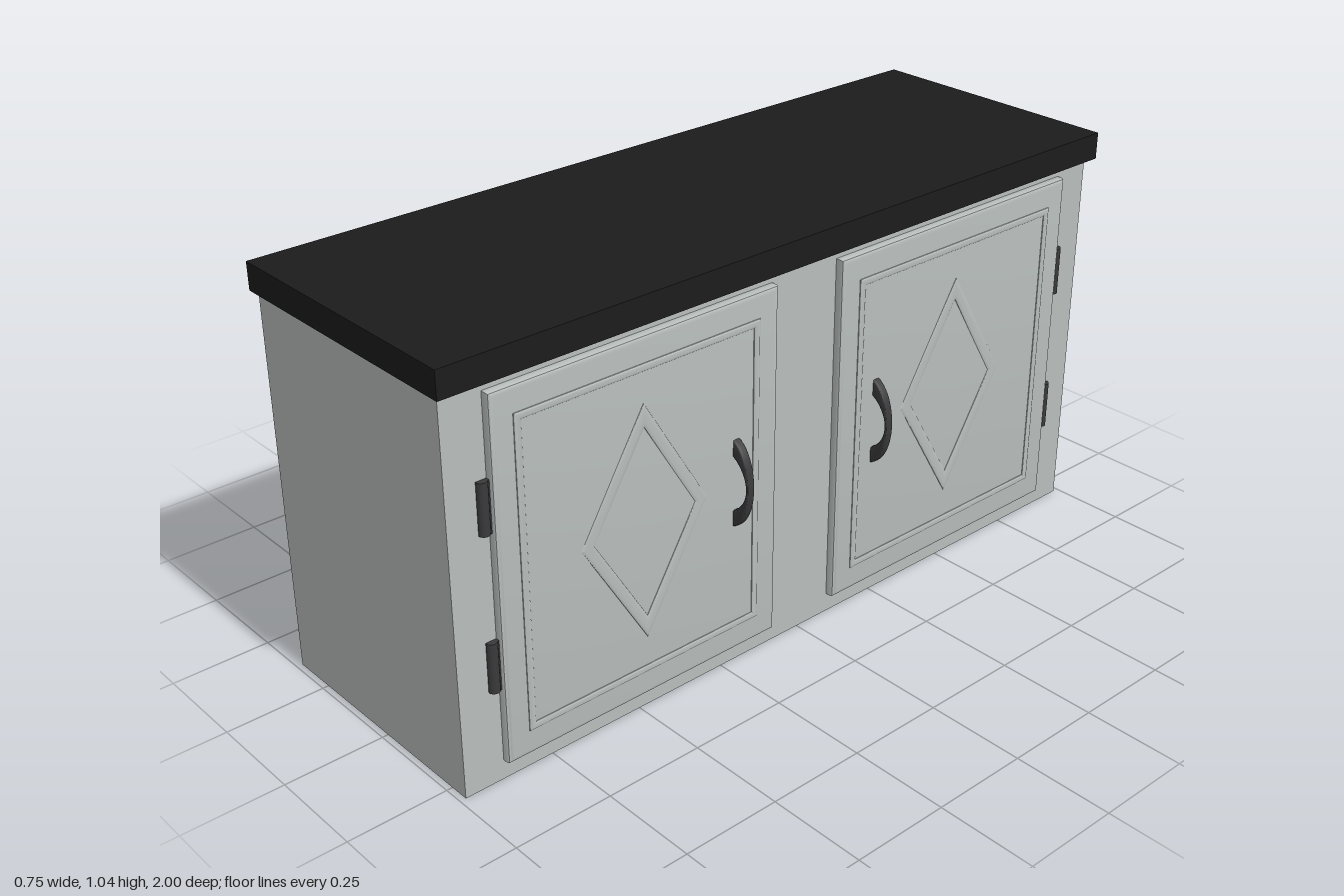
import * as THREE from 'three';
import { toCreasedNormals } from 'three/addons/utils/BufferGeometryUtils.js';

const mat = (color) => new THREE.MeshStandardMaterial({ color });
const paint = mat(0xb8bebc);
const black = mat(0x1c1c1c);
const iron = mat(0x3a3a3c);

function add(parent, name, geometry, material, x = 0, y = 0, z = 0) {
  const mesh = new THREE.Mesh(geometry, material);
  mesh.name = name;
  mesh.position.set(x, y, z);
  parent.add(mesh);
  return mesh;
}

const rect = (w, h) => [[-w, -h], [w, -h], [w, h], [-w, h]];
const diamond = (w, h) => [[0, -h], [w, 0], [0, h], [-w, 0]];
const toShape = (pts) => new THREE.Shape(pts.map(([x, y]) => new THREE.Vector2(x, y)));

// Outline, with an optional hole, extruded towards +x with a bevelled face
function relief(outer, inner, depth, bevel, rise, segments = 2) {
  const shape = toShape(outer);
  if (inner) shape.holes.push(toShape(inner));
  const geo = new THREE.ExtrudeGeometry(shape, {
    depth, bevelThickness: rise, bevelSize: bevel, bevelOffset: -bevel, bevelSegments: segments,
  });
  geo.translate(0, 0, rise);
  geo.rotateY(Math.PI / 2);
  return toCreasedNormals(geo, 0.6);
}

// Crescent pull, centred on its own middle, thick along z
function handleGeometry() {
  const s = new THREE.Shape();
  s.moveTo(0, -0.106);
  s.bezierCurveTo(0.058, -0.07, 0.058, 0.07, 0, 0.106);
  s.lineTo(0, 0.073);
  s.bezierCurveTo(0.058, 0.035, 0.058, -0.035, 0, -0.073);
  const geo = new THREE.ExtrudeGeometry(s, {
    depth: 0.008, bevelThickness: 0.007, bevelSize: 0.005, bevelSegments: 4, curveSegments: 24,
  });
  geo.translate(0, 0, -0.004);
  return toCreasedNormals(geo, 0.9);
}

export function createModel() {
  const root = new THREE.Group();
  root.name = 'cabinet';

  // Carcass on a plinth frame that leaves two shallow recesses underneath
  add(root, 'carcass', new THREE.BoxGeometry(0.665, 0.92, 1.97), paint, -0.0325, 0.51, 0);
  const plinth = toShape([[-0.365, -0.985], [0.3, -0.985], [0.3, 0.985], [-0.365, 0.985]]);
  for (const [a, b] of [[-0.93, -0.06], [0.06, 0.93]]) {
    plinth.holes.push(toShape([[-0.316, a], [0.268, a], [0.268, b], [-0.316, b]]));
  }
  const plinthGeo = new THREE.ExtrudeGeometry(plinth, { depth: 0.05, bevelEnabled: false });
  plinthGeo.rotateX(Math.PI / 2);
  add(root, 'plinthFrame', plinthGeo, paint, 0, 0.05, 0);

  add(root, 'countertop', new THREE.BoxGeometry(0.7, 0.068, 2), black, -0.026, 1.004, 0);

  // Shared door parts
  const slab = relief(rect(0.391, 0.4475), null, 0.019, 0.012, 0.007, 3);
  const bead = relief(rect(0.335, 0.387), rect(0.316, 0.368), 0.002, 0.006, 0.004, 3);
  const lozenge = relief(diamond(0.178, 0.295), diamond(0.142, 0.235), 0.0005, 0.013, 0.004, 3);
  const handle = handleGeometry();
  const hinge = new THREE.CylinderGeometry(0.0135, 0.0135, 0.125, 20);

  for (const side of [1, -1]) {
    const door = new THREE.Group();
    door.name = side > 0 ? 'leftDoor' : 'rightDoor';
    door.position.set(0, 0.4975, side * 0.491);
    root.add(door);
    add(door, 'doorSlab', slab, paint, 0.29);
    add(door, 'panelBead', bead, paint, 0.3165);
    add(door, 'diamondMoulding', lozenge, paint, 0.3175);
    add(door, 'handle', handle, iron, 0.325, 0, -side * 0.267);
    for (const y of [-0.195, 0.19]) {
      // Barrel with a leaf running to the door edge
      add(door, 'hingeBarrel', hinge, iron, 0.302, y, side * 0.405);
      add(door, 'hingeLeaf', new THREE.BoxGeometry(0.012, 0.125, 0.02), iron, 0.304, y, side * 0.398);
    }
  }
  return root;
}
